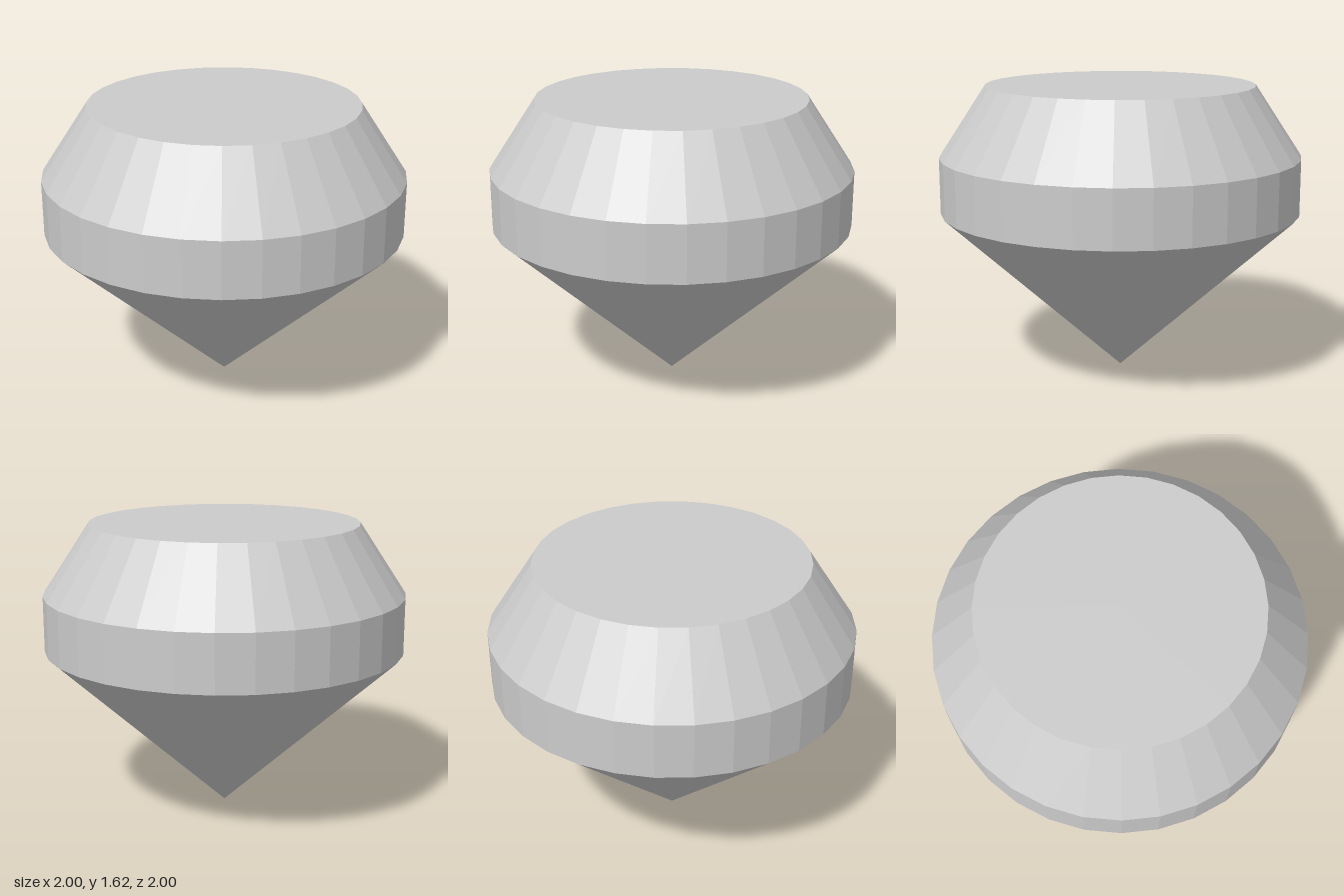
import * as THREE from 'three';

const SIDES = 32;

export function createModel() {
  const gem = new THREE.Group();
  gem.name = 'gem';
  const material = new THREE.MeshStandardMaterial({ color: 0xcccccc, flatShading: true });

  // One faceted ring between two heights, centred on the y axis
  function addRing(name, bottomRadius, topRadius, bottomY, topY) {
    const geometry = new THREE.CylinderGeometry(topRadius, bottomRadius, topY - bottomY, SIDES, 1, true);
    geometry.translate(0, (bottomY + topY) / 2, 0);
    const mesh = new THREE.Mesh(geometry, material);
    mesh.name = name;
    gem.add(mesh);
  }

  addRing('pavilion', 0, 1, 0, 0.923); // lower cone
  addRing('girdle', 1, 1, 0.923, 1.232); // upright band
  addRing('crown', 1, 0.743, 1.232, 1.62); // sloped upper facets

  // Flat top, its corners aligned with the crown
  const table = new THREE.Mesh(new THREE.CircleGeometry(0.743, SIDES), material);
  table.name = 'table';
  table.rotation.x = -Math.PI / 2;
  table.position.y = 1.62;
  gem.add(table);

  return gem;
}
